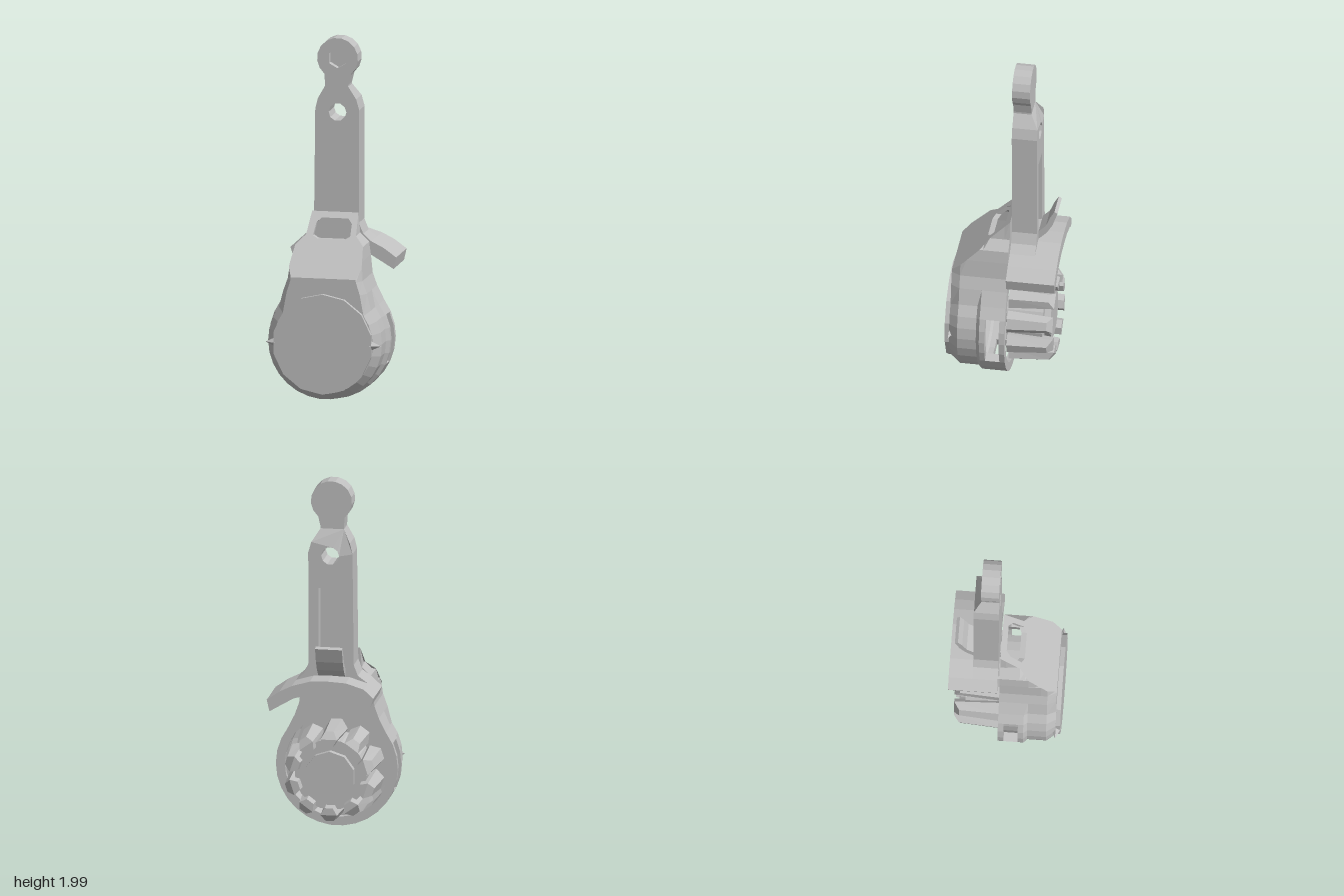
import * as THREE from 'three';

const grey = new THREE.MeshStandardMaterial({ color: 0xc0c0c0, flatShading: true, side: THREE.DoubleSide });
grey.name = 'plain grey';
const CY = 0.35; // height of the round head's axis

function add(parent, name, geometry) {
  const mesh = new THREE.Mesh(geometry, grey);
  mesh.name = name;
  parent.add(mesh);
  return mesh;
}
const toShape = (pts) => new THREE.Shape(pts.map(([x, y]) => new THREE.Vector2(x, y)));
function arc(cx, cy, r, a0, a1, n) {
  return Array.from({ length: n + 1 }, (_, i) => {
    const a = THREE.MathUtils.degToRad(a0 + ((a1 - a0) * i) / n);
    return [cx + r * Math.cos(a), cy + r * Math.sin(a)];
  });
}
// Flat slab between two depths, with optional holes
function slab(pts, holes, zBack, zFront) {
  const s = toShape(pts);
  s.holes = holes.map(toShape);
  return new THREE.ExtrudeGeometry(s, { depth: zFront - zBack, bevelEnabled: false }).translate(0, 0, zBack);
}
function disc(r, zBack, zFront, sides) {
  return new THREE.CylinderGeometry(r, r, zFront - zBack, sides).rotateX(Math.PI / 2)
    .translate(0, CY, (zBack + zFront) / 2);
}
function quads(list) {
  const g = new THREE.BufferGeometry();
  const pos = list.flatMap(([a, b, c, d]) => [a, b, c, a, c, d].flat());
  g.setAttribute('position', new THREE.Float32BufferAttribute(pos, 3));
  g.computeVertexNormals();
  return g;
}

// Hollow head: a round drum with a neck, cut by the slope y = 1 - z
function makeHead(root) {
  const head = new THREE.Group();
  head.name = 'head';
  root.add(head);
  const zs = [-0.03, 0, 0.08, 0.11, 0.13, 0.2, 0.235, 0.285];
  const radii = [0.34, 0.34, 0.34, 0.34, 0.32, 0.32, 0.32, 0.28];
  const neck = [[0.235, 0.63], [0.21, 0.7], [0.2, 0.8], [0.19, 0.87], [0.14, 0.92], [0.13, 1.03]];
  const mirrored = neck.map(([x, y]) => [-x, y]);
  const slots = [[1, 5], [9, 12], [16, 20]]; // arc columns left open
  const inSlot = (j) => slots.some(([a, b]) => j >= a && j < b);

  const section = (z, r) => {
    const f = Math.min(1, r / 0.32);
    const loop = [...arc(0, CY, r, 36, -216, 21),
      ...[...mirrored, ...[...neck].reverse()].map(([x, y]) => [x * f, y])];
    return loop.map(([x, y]) => [x, Math.min(y, 1 - z), z]);
  };
  const rings = zs.map((z, i) => section(z, radii[i]));
  const cut = (p) => p[1] >= 1 - p[2] - 1e-6;
  const skin = [];
  for (let i = 0; i < zs.length - 1; i++) {
    const n = rings[i].length;
    for (let j = 0; j < n; j++) {
      const k = (j + 1) % n;
      const q = [rings[i][j], rings[i + 1][j], rings[i + 1][k], rings[i][k]];
      if (q.every(cut) || (i === 1 && inSlot(j))) continue;
      skin.push(q);
    }
  }
  add(head, 'headShell', quads(skin));

  // Inner wall of the drum and the edges of its slots
  const inner = zs.slice(0, 4).map((z) => arc(0, CY, 0.29, 36, -216, 21).map(([x, y]) => [x, y, z]));
  const liner = [];
  for (let i = 0; i < 3; i++) {
    for (let j = 0; j < 21; j++) {
      if (i === 1 && inSlot(j)) {
        for (const e of [1, 2]) liner.push([rings[e][j], rings[e][j + 1], inner[e][j + 1], inner[e][j]]);
      } else {
        liner.push([inner[i][j], inner[i][j + 1], inner[i + 1][j + 1], inner[i + 1][j]]);
      }
    }
  }
  for (const j of slots.flat()) liner.push([rings[1][j], rings[2][j], inner[2][j], inner[1][j]]);
  add(head, 'drumLiner', quads(liner));

  // Back wall with the round opening, and the front wall
  const back = toShape(rings[0]);
  back.holes = [toShape(arc(0, CY, 0.29, 0, 360, 30))];
  add(head, 'backWall', new THREE.ShapeGeometry(back).translate(0, 0, -0.03));
  add(head, 'frontWall', new THREE.ShapeGeometry(toShape(rings[7].filter((p) => !cut(p))
    .concat([[0.182, 0.715]]).toSpliced(-1, 0, [-0.182, 0.715]).sort((a, b) =>
      Math.atan2(a[1] - CY, a[0]) - Math.atan2(b[1] - CY, b[0])))).translate(0, 0, 0.285));

  // Sloping face with a rounded window
  const half = [[0.182, 0.715], [0.204, 0.765], ...neck.slice(2)];
  const slope = toShape([...half, ...[...half].reverse().map(([x, y]) => [-x, y])]);
  const win = [[-0.07, 0.9], [0.08, 0.9], [0.108, 0.915], [0.105, 0.975], [0.08, 1], [-0.07, 1], [-0.095, 0.975], [-0.1, 0.915]];
  slope.holes = [toShape(win)];
  const face = new THREE.ShapeGeometry(slope);
  const p = face.attributes.position;
  for (let i = 0; i < p.count; i++) p.setZ(i, 1 - p.getY(i));
  face.computeVertexNormals();
  add(head, 'slopeFace', face);
  add(head, 'windowEdge', quads(win.map(([x, y], i) => {
    const [u, v] = win[(i + 1) % win.length];
    return [[x, y, 1 - y], [u, v, 1 - v], [u, v, 0.97 - v], [x, y, 0.97 - y]];
  })));

  // Front cover with a pointed catch on each side
  add(head, 'frontCover', disc(0.28, 0.28, 0.31, 14));
  for (const s of [-1, 1]) {
    add(head, 'coverCatch', new THREE.ConeGeometry(0.028, 0.06, 4).rotateZ(-s * Math.PI / 2)
      .translate(s * 0.295, CY, 0.285));
  }
}

// Grip wheel on the back
function makeWheel(root) {
  const wheel = new THREE.Group();
  wheel.name = 'gripWheel';
  root.add(wheel);
  add(wheel, 'shaft', disc(0.07, -0.03, 0.28, 10));
  add(wheel, 'wheelCore', disc(0.2, -0.22, -0.02, 20));
  add(wheel, 'wheelCap', disc(0.14, -0.255, -0.2, 10));
  for (let i = 0; i < 10; i++) {
    const lobe = new THREE.CylinderGeometry(0.046, 0.062, 0.25, 6).rotateX(-Math.PI / 2);
    const p = lobe.attributes.position;
    for (let k = 0; k < p.count; k++) if (p.getZ(k) < 0 && p.getX(k) > 0.01) p.setZ(k, -0.095);
    lobe.translate(0.215, 0, -0.155).rotateZ(((i + 0.5) * Math.PI) / 5).translate(0, CY, 0);
    add(wheel, 'wheelLobe', lobe);
  }
}

// Handle, finger guard, clip and end knob
function makeHandle(root) {
  const handle = new THREE.Group();
  handle.name = 'handle';
  root.add(handle);
  const under = [[-0.255, 0.82], [-0.24, 0.775], [-0.19, 0.805], [-0.1, 0.825], [0, 0.83], [0.1, 0.825],
    [0.19, 0.8], [0.25, 0.765], [0.325, 0.72], [0.34, 0.785], [0.27, 0.835], [0.2, 0.87]];
  const outline = [...under, [0.155, 0.91], [0.13, 0.97], [0.132, 1.6], [0.115, 1.66], [0.07, 1.73],
    [-0.06, 1.73], [-0.1, 1.66], [-0.115, 1.6], [-0.122, 0.97], [-0.145, 0.91], [-0.2, 0.87]];
  const hole = arc(0.01, 1.585, 0.05, 0, 360, 10).slice(0, -1);
  const slot = [[-0.045, 0.92], [0.075, 0.92], [0.075, 1.4], [-0.045, 1.4]];
  add(handle, 'handleFront', slab(outline, [hole], -0.12, -0.04));
  const rear = slab(outline, [hole, slot], -0.18, -0.12);
  const p = rear.attributes.position;
  for (let i = 0; i < p.count; i++) if (p.getY(i) > 1.7 && p.getZ(i) < -0.17) p.setZ(i, -0.14);
  rear.computeVertexNormals();
  add(handle, 'handleBack', rear);

  const guard = [...under, [0.1, 0.9], [0, 0.905], [-0.1, 0.9], [-0.2, 0.87]];
  add(handle, 'fingerGuard', slab(guard, [], -0.31, -0.18));

  // Curved clip rising out of the back slot
  const clip = [[0.12, 0.92], [0.18, 0.9], [0.225, 0.945], [0.258, 1.0], [0.285, 1.08],
    [0.268, 1.09], [0.245, 1.05], [0.22, 0.99], [0.18, 0.95], [0.12, 0.94]];
  add(handle, 'clip', slab(clip, [], -0.075, 0.075).rotateY(Math.PI / 2));

  // End knob with a six-sided socket
  const knob = [[-0.06, 1.7], [0.07, 1.7], [0.07, 1.74], ...arc(0.01, 1.885, 0.115, -50, 230, 13), [-0.06, 1.74]];
  const socket = arc(0.01, 1.885, 0.055, 30, 390, 6).slice(0, -1);
  add(handle, 'knobBack', slab(knob, [], -0.14, -0.08));
  add(handle, 'knobFront', slab(knob, [socket], -0.08, -0.04));
}

export function createModel() {
  const root = new THREE.Group();
  root.name = 'handTool';
  makeHead(root);
  makeWheel(root);
  makeHandle(root);
  return root;
}
